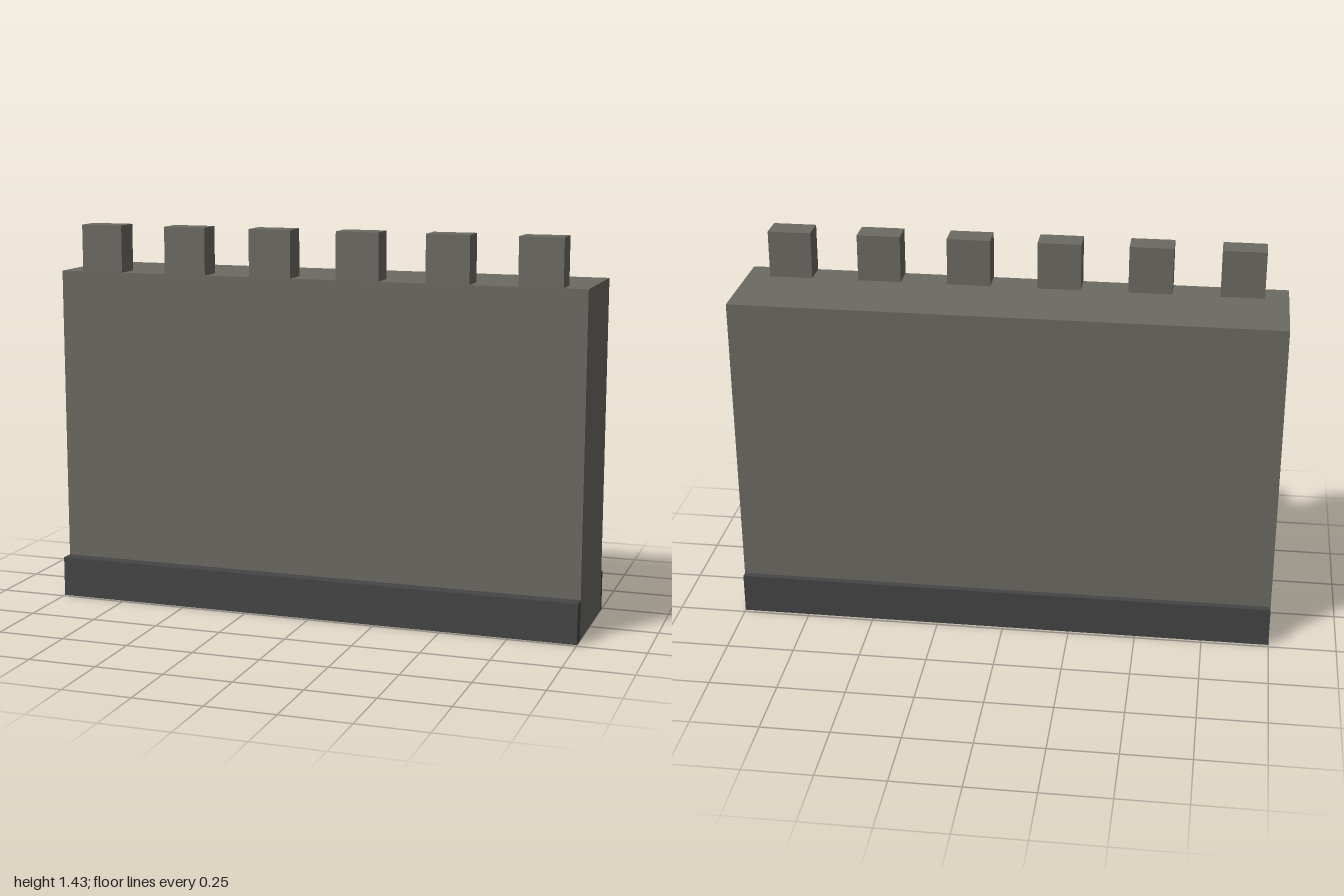
import * as THREE from 'three';

const stone = new THREE.MeshStandardMaterial({ color: 0x6b6a62 });
stone.name = 'stone';
const darkStone = new THREE.MeshStandardMaterial({ color: 0x454545 });
darkStone.name = 'darkStone';

// Box given by its x centre and width, and its y and z ranges
function block(name, material, x, width, [y0, y1], [z0, z1]) {
  const mesh = new THREE.Mesh(new THREE.BoxGeometry(width, y1 - y0, z1 - z0), material);
  mesh.position.set(x, (y0 + y1) / 2, (z0 + z1) / 2);
  mesh.name = name;
  return mesh;
}

export function createModel() {
  const group = new THREE.Group();
  group.name = 'battlementWall';

  const length = 2, wallTop = 1.252, merlonTop = 1.427, plinthTop = 0.15;
  const front = 0.187, back = -0.213, plinthReach = 0.237;

  // Main wall
  group.add(block('wall', stone, 0, length, [0, wallTop], [back, front]));

  // Plinth ledges along the front and back feet of the wall
  group.add(block('frontPlinth', darkStone, 0, length, [0, plinthTop], [front, plinthReach]));
  group.add(block('backPlinth', darkStone, 0, length, [0, plinthTop], [-plinthReach, back]));

  // Row of merlons flush with the front face
  const count = 6, pitch = length / count;
  for (let i = 0; i < count; i++) {
    const x = (i - (count - 1) / 2) * pitch;
    group.add(block(`merlon${i + 1}`, stone, x, 0.16, [wallTop, merlonTop], [0.089, front]));
  }

  return group;
}
